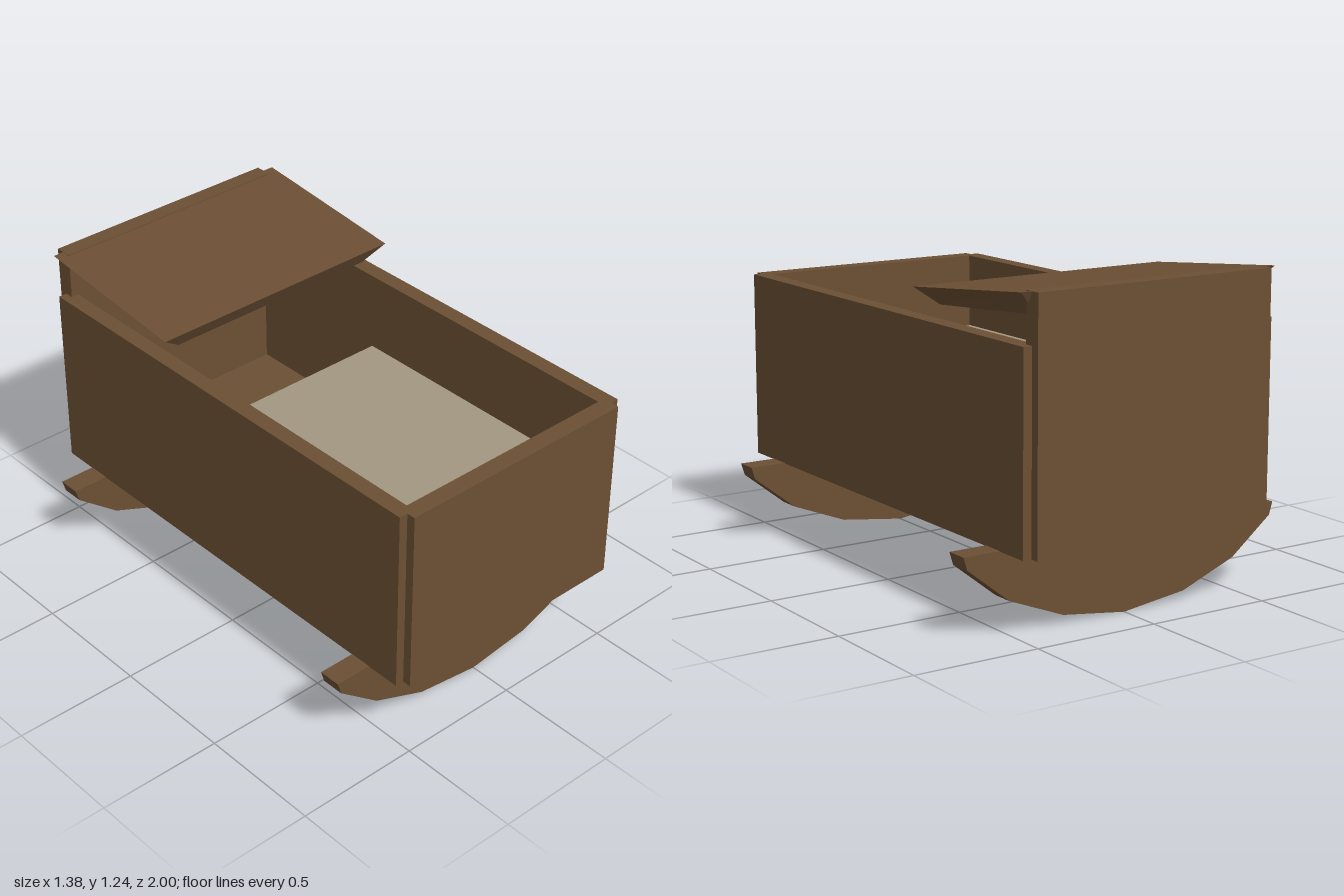
import * as THREE from 'three';

export function createModel() {
  const model = new THREE.Group();
  model.name = 'cradle';
  const wood = new THREE.MeshStandardMaterial({ name: 'wood', color: 0x6b4f34 });
  const cloth = new THREE.MeshStandardMaterial({ name: 'cloth', color: 0xa39781 });

  const add = (name, geometry, material = wood) => {
    const mesh = new THREE.Mesh(geometry, material);
    mesh.name = name;
    model.add(mesh);
    return mesh;
  };
  // Box given by its limits on each axis
  const box = (name, [x0, x1], [y0, y1], [z0, z1], material) =>
    add(name, new THREE.BoxGeometry(x1 - x0, y1 - y0, z1 - z0), material)
      .position.set((x0 + x1) / 2, (y0 + y1) / 2, (z0 + z1) / 2);

  // Crib body
  box('footBoard', [-0.505, 0.505], [0.31, 1.05], [0.93, 1]);
  box('headBoard', [-0.505, 0.505], [0.31, 1.235], [-1, -0.93]);
  box('leftSide', [0.475, 0.54], [0.31, 1.05], [-0.965, 0.965]);
  box('rightSide', [-0.54, -0.475], [0.31, 1.05], [-0.965, 0.965]);
  box('floor', [-0.475, 0.475], [0.31, 0.375], [-0.93, 0.93]);
  box('mattress', [-0.44, 0.44], [0.375, 0.76], [-0.23, 0.87], cloth);

  // Sloping canopy with bevelled edges, narrower underneath
  const canopy = new THREE.BoxGeometry(2, 2, 2).toNonIndexed();
  const p = canopy.attributes.position;
  for (let i = 0; i < p.count; i++) {
    const top = p.getY(i) > 0, front = p.getZ(i) > 0;
    const [y, z] = top
      ? (front ? [1.165, -0.28] : [1.235, -0.965])
      : (front ? [1.097, -0.32] : [1.145, -0.92]);
    p.setXYZ(i, Math.sign(p.getX(i)) * (top ? 0.55 : 0.46), y, z);
  }
  canopy.computeVertexNormals();
  add('canopy', canopy);

  // Rockers with a faceted curved underside
  const half = [[0.27, 0.035], [0.5, 0.125], [0.675, 0.263], [0.69, 0.312]];
  const outline = [[0, 0], ...half, ...half.map(([x, y]) => [-x, y]).reverse()];
  const profile = new THREE.Shape(outline.map(([x, y]) => new THREE.Vector2(x, y)));
  for (const [name, z] of [['frontRocker', 0.735], ['backRocker', -0.825]]) {
    add(name, new THREE.ExtrudeGeometry(profile, { depth: 0.09, bevelEnabled: false }))
      .position.z = z;
  }
  return model;
}
